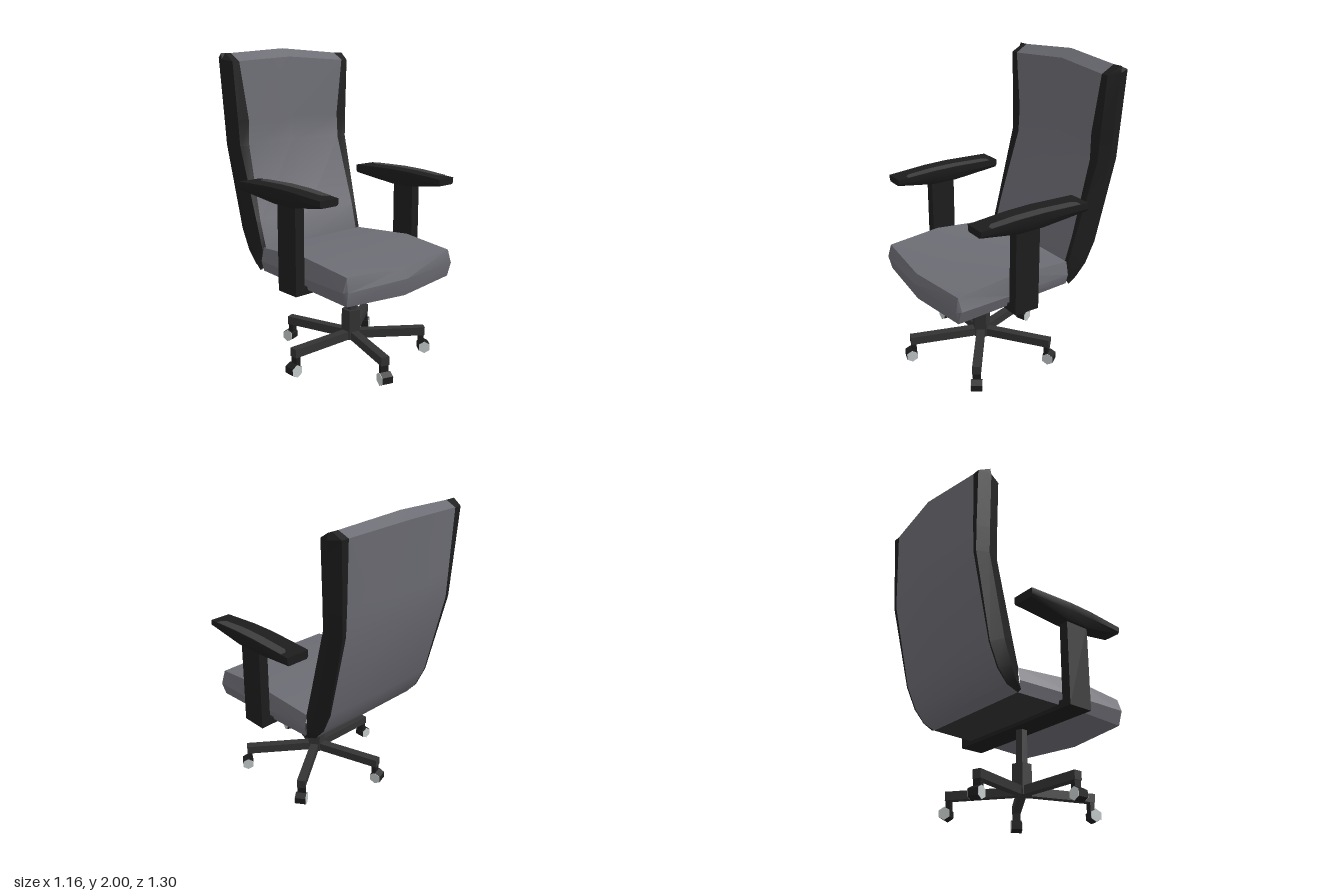
import * as THREE from 'three';
import { toCreasedNormals } from 'three/addons/utils/BufferGeometryUtils.js';

const mat = (name, color) => new THREE.MeshStandardMaterial({ name, color });

export function createModel() {
  const chair = new THREE.Group();
  chair.name = 'officeChair';
  const fabric = mat('greyFabric', 0x6c6c74);
  const black = mat('blackTrim', 0x1d1d1d);
  const frame = mat('darkFrame', 0x333333);
  const padGrey = mat('padGrey', 0x3d3d3d);
  const silver = mat('silverCap', 0xc4caca);

  const add = (parent, name, geo, material, x = 0, y = 0, z = 0) => {
    const m = new THREE.Mesh(geo, material);
    m.name = name;
    m.position.set(x, y, z);
    parent.add(m);
    return m;
  };

  // Skin over rings of [x, y, z]; keep(i, j) picks the quads, caps close the ends
  const loft = (rings, keep = () => true, caps = false) => {
    const pos = [];
    const tri = (...pts) => pts.forEach((p) => pos.push(...p));
    const n = rings[0].length;
    for (let i = 0; i < rings.length - 1; i++) {
      for (let j = 0; j < n; j++) {
        if (!keep(i, j)) continue;
        const k = (j + 1) % n;
        const a = rings[i][j], b = rings[i][k], c = rings[i + 1][k], d = rings[i + 1][j];
        tri(a, b, c);
        tri(a, c, d);
      }
    }
    if (caps) {
      const first = rings[0], last = rings[rings.length - 1];
      for (let j = 1; j < n - 1; j++) {
        tri(first[0], first[j + 1], first[j]);
        tri(last[0], last[j], last[j + 1]);
      }
    }
    const g = new THREE.BufferGeometry();
    g.setAttribute('position', new THREE.Float32BufferAttribute(pos, 3));
    return toCreasedNormals(g, 0.5);
  };

  // Seat cushion: sections from rear to nose, with bulging sides
  const seatRing = ({ w, o, top, topC, bot, botC, z, zC, zO }) => [
    [o, 0.65, zO], [w, top, z], [0, topC, zC], [-w, top, z],
    [-o, 0.65, zO], [-w, bot, z], [0, botC, zC], [w, bot, z],
  ];
  const seatRings = [
    { w: 0.42, o: 0.44, top: 0.735, topC: 0.73, bot: 0.58, botC: 0.58, z: -0.24, zC: -0.24, zO: -0.24 },
    { w: 0.44, o: 0.465, top: 0.77, topC: 0.755, bot: 0.575, botC: 0.57, z: 0.22, zC: 0.22, zO: 0.22 },
    { w: 0.44, o: 0.47, top: 0.735, topC: 0.715, bot: 0.56, botC: 0.54, z: 0.58, zC: 0.617, zO: 0.57 },
    { w: 0.45, o: 0.47, top: 0.65, topC: 0.65, bot: 0.65, botC: 0.65, z: 0.6, zC: 0.64, zO: 0.58 },
  ].map(seatRing);
  const underside = (i, j) => i === 0 && (j === 5 || j === 6);
  add(chair, 'seatCushion', loft(seatRings, (i, j) => !underside(i, j)), fabric);
  add(chair, 'seatUnderside', loft(seatRings, underside), frame);

  // Backrest sections, bottom to top: front z/y, back z/y, fabric half-widths
  // front and back, outer half-width, centre offset z/y
  const backRings = [
    [-0.24, 0.6, -0.24, 0.58, 0.4, 0.42, 0.45, 0, 0],
    [-0.24, 0.66, -0.32, 0.61, 0.4, 0.42, 0.455, -0.005, 0],
    [-0.245, 0.735, -0.39, 0.69, 0.4, 0.42, 0.46, -0.008, 0],
    [-0.291, 0.9, -0.455, 0.83, 0.405, 0.425, 0.465, -0.015, 0],
    [-0.425, 1.38, -0.58, 1.38, 0.385, 0.43, 0.485, -0.035, 0],
    [-0.43, 1.55, -0.586, 1.55, 0.38, 0.43, 0.493, -0.038, 0],
    [-0.44, 1.92, -0.597, 1.94, 0.435, 0.435, 0.515, -0.045, 0.025],
    [-0.525, 1.97, -0.525, 1.97, 0.44, 0.44, 0.512, -0.035, 0.03],
  ].map(([fz, fy, bz, by, wf, wb, o, dz, dy]) => {
    const e = o - 0.03, mz = (fz + bz) / 2, my = (fy + by) / 2;
    return [
      [o, my, mz], [e, by, bz], [wb, by, bz], [0, by + dy, bz + dz], [-wb, by, bz], [-e, by, bz],
      [-o, my, mz], [-e, fy, fz], [-wf, fy, fz], [0, fy + dy, fz + dz], [wf, fy, fz], [e, fy, fz],
    ];
  });
  const isFabric = (i, j) => [2, 3, 8, 9].includes(j);
  add(chair, 'backrestCushion', loft(backRings, isFabric), fabric);
  add(chair, 'backrestSides', loft(backRings, (i, j) => !isFabric(i, j)), black);

  // Armrests: post, tapered pad and a thin lighter inlay
  const padRings = [
    [-0.26, 1.19, 1.15, 1.135, 0.08, 0.07],
    [0.06, 1.2, 1.15, 1.095, 0.08, 0.05],
    [0.235, 1.197, 1.15, 1.095, 0.077, 0.05],
    [0.5, 1.18, 1.148, 1.137, 0.068, 0.055],
  ].map(([z, t, e, b, w, n]) => [[w, e, z], [w, t, z], [-w, t, z], [-w, e, z], [-n, b, z], [n, b, z]]);
  const inlayRings = [
    [-0.2, 1.192, 0.04, 0.079], [-0.17, 1.193, 0.02, 0.079], [0.06, 1.2, 0.015, 0.079],
    [0.235, 1.197, 0.013, 0.076], [0.4, 1.1865, 0.018, 0.071], [0.43, 1.1845, 0.04, 0.07],
  ].map(([z, t, a, b]) => [[b, t - 0.002, z], [b, t + 0.003, z], [a, t + 0.003, z], [a, t - 0.002, z]]);
  for (const side of [-1, 1]) {
    const arm = new THREE.Group();
    arm.name = side > 0 ? 'leftArmrest' : 'rightArmrest';
    arm.position.x = side * 0.5;
    add(arm, 'armPost', new THREE.BoxGeometry(0.065, 0.57, 0.17), black, 0, 0.835, 0.15);
    add(arm, 'armPad', loft(padRings, undefined, true), black);
    add(arm, 'armPadInlay', loft(inlayRings, undefined, true), padGrey);
    chair.add(arm);
  }
  add(chair, 'armCrossbar', new THREE.BoxGeometry(1.0, 0.05, 0.17), black, 0, 0.575, 0.15);

  // Five-sided column and hub, with a corner towards +x
  const base = new THREE.Group();
  base.name = 'swivelBase';
  base.position.z = 0.145;
  chair.add(base);
  const prism = (r, h, n, turn) =>
    toCreasedNormals(new THREE.CylinderGeometry(r, r, h, n).rotateY(turn), 0.3);
  add(base, 'gasColumn', prism(0.038, 0.25, 5, Math.PI / 2), frame, 0, 0.43);
  add(base, 'hub', prism(0.064, 0.2, 5, Math.PI / 2), frame, 0, 0.225);

  // Star legs, each with a hexagonal caster
  for (let i = 0; i < 5; i++) {
    const leg = new THREE.Group();
    leg.name = 'leg' + (i + 1);
    leg.rotation.y = Math.PI + (i * 2 * Math.PI) / 5;
    add(leg, 'spoke', new THREE.BoxGeometry(0.47, 0.055, 0.055), frame, 0.255, 0.1525);
    add(leg, 'casterStem', new THREE.BoxGeometry(0.03, 0.08, 0.05), black, 0.47, 0.095);
    const wheel = prism(0.042, 0.07, 6, 0).rotateX(Math.PI / 2);
    add(leg, 'casterWheel', wheel, black, 0.488, 0.042).rotation.z = 0;
    for (const s of [-1, 1]) {
      const cap = prism(0.041, 0.006, 6, 0).rotateX(Math.PI / 2);
      add(leg, 'wheelCap', cap, silver, 0.488, 0.042, s * 0.035);
    }
    base.add(leg);
  }
  return chair;
}
